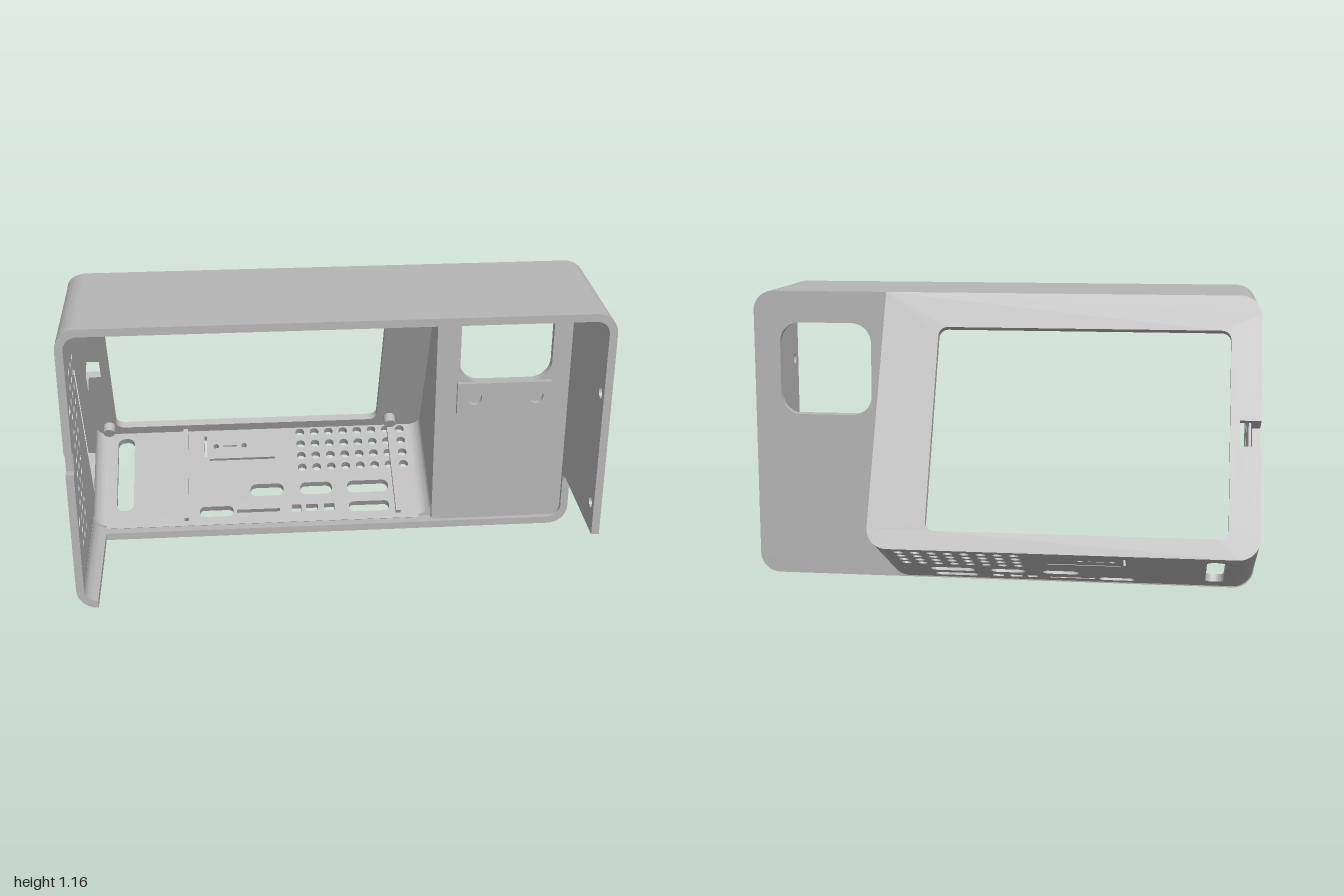
import * as THREE from 'three';
import { toCreasedNormals } from 'three/addons/utils/BufferGeometryUtils.js';

const T = 0.03, R = 0.08, H = 1.155, BACK = -0.04, FRONT = 0.5;
const LEN = 1.0286, TILT = Math.atan2(0.46, 0.92);
const COS = Math.cos(TILT), SIN = Math.sin(TILT);

// rounded rectangle; radii run bottom-left, bottom-right, top-right, top-left
function roundRect(p, x0, y0, x1, y1, [a, b, c, d]) {
  p.moveTo(x0 + a, y0);
  p.lineTo(x1 - b, y0);
  if (b) p.absarc(x1 - b, y0 + b, b, -Math.PI / 2, 0, false);
  p.lineTo(x1, y1 - c);
  if (c) p.absarc(x1 - c, y1 - c, c, 0, Math.PI / 2, false);
  p.lineTo(x0 + d, y1);
  if (d) p.absarc(x0 + d, y1 - d, d, Math.PI / 2, Math.PI, false);
  p.lineTo(x0, y0 + a);
  if (a) p.absarc(x0 + a, y0 + a, a, Math.PI, Math.PI * 1.5, false);
  return p;
}
const slot = (x0, y0, x1, y1, r) => roundRect(new THREE.Path(), x0, y0, x1, y1, [r, r, r, r]);
const circle = (x, y, r) => new THREE.Path().absarc(x, y, r, 0, Math.PI * 2, true);
const polygon = (pts) => new THREE.Shape(pts.map(([x, y]) => new THREE.Vector2(x, y)));

function extrude(shape, depth, holes = []) {
  shape.holes.push(...holes);
  return new THREE.ExtrudeGeometry(shape, { depth, bevelEnabled: false, curveSegments: 8 });
}

// quarter of a rounded tube, used for every rounded edge
function quarter(cx, cy, start, depth) {
  const s = new THREE.Shape();
  s.absarc(cx, cy, R, start, start + Math.PI / 2, false);
  s.absarc(cx, cy, R - T, start + Math.PI / 2, start, true);
  return extrude(s, depth);
}

// tilted frame (v up the screen panel, w inward from it) to side-plate coordinates (-z, y)
const tilted = (v, w) => [0.5 - SIN * v - COS * w, 0.235 + COS * v - SIN * w];

export function createModel() {
  const model = new THREE.Group();
  model.name = 'deviceCase';
  const grey = new THREE.MeshStandardMaterial({ color: 0xb6b6b6 });
  grey.name = 'grey plastic';
  grey.side = THREE.DoubleSide;

  function add(parent, name, geometry, x = 0, y = 0, z = 0) {
    const mesh = new THREE.Mesh(toCreasedNormals(geometry, 0.5), grey);
    mesh.name = name;
    mesh.position.set(x, y, z);
    parent.add(mesh);
    return mesh;
  }
  const box = (parent, name, x0, x1, y0, y1, z0, z1) =>
    add(parent, name, new THREE.BoxGeometry(x1 - x0, y1 - y0, z1 - z0),
      (x0 + x1) / 2, (y0 + y1) / 2, (z0 + z1) / 2);
  // plate standing in the y-z plane
  const sidePlate = (name, shape, x, depth, holes) =>
    add(model, name, extrude(shape, depth, holes).rotateY(Math.PI / 2), x);

  // main shell: top, bottom lip and rounded corners
  box(model, 'topWall', -1 + R, 1 - R, H - T, H, BACK, FRONT);
  box(model, 'bottomLip', -1 + R, 1 - R, 0, T, BACK, 0.01);
  const full = FRONT - BACK;
  add(model, 'topRightEdge', quarter(1 - R, H - R, 0, full), 0, 0, BACK);
  add(model, 'topLeftEdge', quarter(-1 + R, H - R, Math.PI / 2, full), 0, 0, BACK);
  add(model, 'bottomLeftEdge', quarter(-1 + R, R, Math.PI, full), 0, 0, BACK);
  add(model, 'bottomRightEdge', quarter(1 - R, R, Math.PI * 1.5, 0.05), 0, 0, BACK);

  // screw holes shared by both side walls
  const screws = [0.82, 0.355];
  const screwHoles = () => screws.map((y) => circle(-0.45, y, 0.04));
  for (const x of [-1 + T - 0.015, 1 - T]) {
    for (const y of screws) {
      const washer = new THREE.Shape().absarc(-0.45, y, 0.04, 0, Math.PI * 2, false);
      sidePlate('screwSeat', washer, x, 0.015, [circle(-0.45, y, 0.022)]);
    }
  }

  // side wall with the lower front corner cut away
  const cutWall = new THREE.Shape();
  cutWall.moveTo(-FRONT, 0.24);
  cutWall.lineTo(-0.04, 0.24);
  cutWall.absarc(-0.04, 0.21, 0.03, Math.PI / 2, 0, true);
  cutWall.lineTo(-0.01, R);
  cutWall.lineTo(-BACK, R);
  cutWall.lineTo(-BACK, H - R);
  cutWall.lineTo(-FRONT, H - R);
  sidePlate('cutSideWall', cutWall, 1 - T, T, screwHoles());

  // vented side wall, reaching back along the wedge
  const vents = [];
  for (const z of [0.25, 0.315, 0.38]) {
    for (let i = 0; i < 13; i++) vents.push(circle(-z, 0.22 + i * 0.06, 0.016));
  }
  const sideOpening = new THREE.Path([[0.09, 0.17], [0.89, 0.17], [0.89, 0.365], [0.09, 0.365]]
    .map(([v, w]) => new THREE.Vector2(...tilted(v, w))));
  const ventWall = polygon([
    [-FRONT, R], [-BACK, 0.088], tilted(R, 0),
    tilted(0.43, 0), tilted(0.43, 0.1), tilted(0.53, 0.1), tilted(0.53, 0),
    [0.08, H - R], [-FRONT, H - R],
    [-FRONT, 0.66], [-0.47, 0.66], [-0.47, 0.58], [-FRONT, 0.58],
  ]);
  sidePlate('ventedSideWall', ventWall, -1, T, [...vents, sideOpening, ...screwHoles()]);

  // inner cheek of the wedge
  sidePlate('wedgeCheek', polygon([[-BACK, 0.088], tilted(R, 0), tilted(LEN, 0)]), 0.43, T);

  // back plate with its rounded opening and mounting pad
  const backPlate = roundRect(new THREE.Shape(), 0.43, 0, 1, H, [0, R, R, 0]);
  add(model, 'backPlate', extrude(backPlate, T, [slot(0.525, 0.66, 0.895, 1.03, 0.08)]), 0, 0, BACK);
  const pad = roundRect(new THREE.Shape(), 0.515, 0.525, 0.895, 0.66, [0, 0, 0, 0]);
  add(model, 'mountingPad',
    extrude(pad, 0.02, [circle(0.585, 0.595, 0.03), circle(0.835, 0.595, 0.03)]), 0, 0, -0.01);

  // tilted wedge at the back
  const wedge = new THREE.Group();
  wedge.name = 'tiltedWedge';
  wedge.rotation.x = TILT;
  wedge.position.set(0, 0.235, -0.5);
  model.add(wedge);

  // screen panel with an edge notch
  const panel = new THREE.Shape();
  panel.moveTo(-1 + R, 0);
  panel.lineTo(0.46 - R, 0);
  panel.absarc(0.46 - R, R, R, -Math.PI / 2, 0, false);
  panel.lineTo(0.46, LEN);
  panel.lineTo(-1 + R, LEN);
  panel.absarc(-1 + R, LEN - R, R, Math.PI / 2, Math.PI, false);
  for (const [x, v] of [[-1, 0.53], [-0.92, 0.53], [-0.92, 0.43], [-1, 0.43]]) panel.lineTo(x, v);
  panel.lineTo(-1, R);
  panel.absarc(-1 + R, R, R, Math.PI, Math.PI * 1.5, false);
  add(wedge, 'screenPanel', extrude(panel, T, [slot(-0.885, 0.075, 0.24, 0.885, 0.035)]));

  // rounded lower edges, trimmed where they meet the shell
  for (const [name, cx, start] of [['wedgeLeftEdge', -1 + R, Math.PI],
    ['wedgeRightEdge', 0.46 - R, Math.PI * 1.5]]) {
    const g = quarter(cx, R, start, 1);
    const p = g.attributes.position;
    for (let i = 0; i < p.count; i++) p.setZ(i, p.getZ(i) * (0.46 - SIN * p.getY(i)) / COS);
    g.computeVertexNormals();
    add(wedge, name, g);
  }

  // port plate: slot, grille, ports and latch cuts, as [x0, w0, x1, w1, radius]
  const cuts = [
    [-0.88, 0.06, -0.81, 0.43, 0.03],
    [-0.32, 0.32, -0.18, 0.38, 0.025], [-0.11, 0.32, 0.025, 0.38, 0.025], [0.09, 0.32, 0.265, 0.38, 0.025],
    [-0.535, 0.425, -0.395, 0.475, 0.02], [0.09, 0.425, 0.26, 0.475, 0.02],
    [-0.15, 0.43, -0.11, 0.465, 0.005], [-0.09, 0.43, -0.04, 0.465, 0.005], [-0.015, 0.43, 0.03, 0.465, 0.005],
    [-0.38, 0.445, -0.2, 0.46, 0.004],
    [-0.51, 0.06, -0.5, 0.17, 0.003], [-0.49, 0.18, -0.21, 0.19, 0.003], [-0.43, 0.112, -0.37, 0.118, 0.002],
  ].map(([x0, w0, x1, w1, r]) => slot(x0, -w1, x1, -w0, r));
  for (let i = 0; i < 8; i++) {
    for (let j = 0; j < 4; j++) cuts.push(circle(-0.095 + i * 0.0625, -0.055 - j * 0.062, 0.019));
  }
  cuts.push(circle(-0.46, -0.115, 0.012), circle(-0.34, -0.115, 0.012));
  const portPlate = roundRect(new THREE.Shape(), -1 + R, -0.5145, 0.46 - R, 0, [0, 0, 0, 0]);
  add(wedge, 'portPlate', extrude(portPlate, T, cuts).rotateX(-Math.PI / 2));

  // stiffening ribs and screen posts
  for (const x of [-0.59, 0.295]) box(wedge, 'plateRib', x - 0.01, x + 0.01, T, 0.05, T, 0.49);
  for (const x of [-0.915, 0.295]) {
    for (const v of [0.09, 0.85]) {
      const post = new THREE.CylinderGeometry(0.025, 0.025, 0.04, 20).rotateX(Math.PI / 2);
      add(wedge, 'screenPost', post, x, v, T + 0.02);
    }
  }
  for (const x of [-0.48, -0.175, 0.22]) box(wedge, 'panelRib', x - 0.025, x + 0.025, 0.89, 0.97, T, T + 0.012);

  // retaining clips under the top wall
  for (const x of [-0.61, 0.04]) box(model, 'topClip', x - 0.06, x + 0.06, 1.085, H - T, 0, 0.05);
  return model;
}
